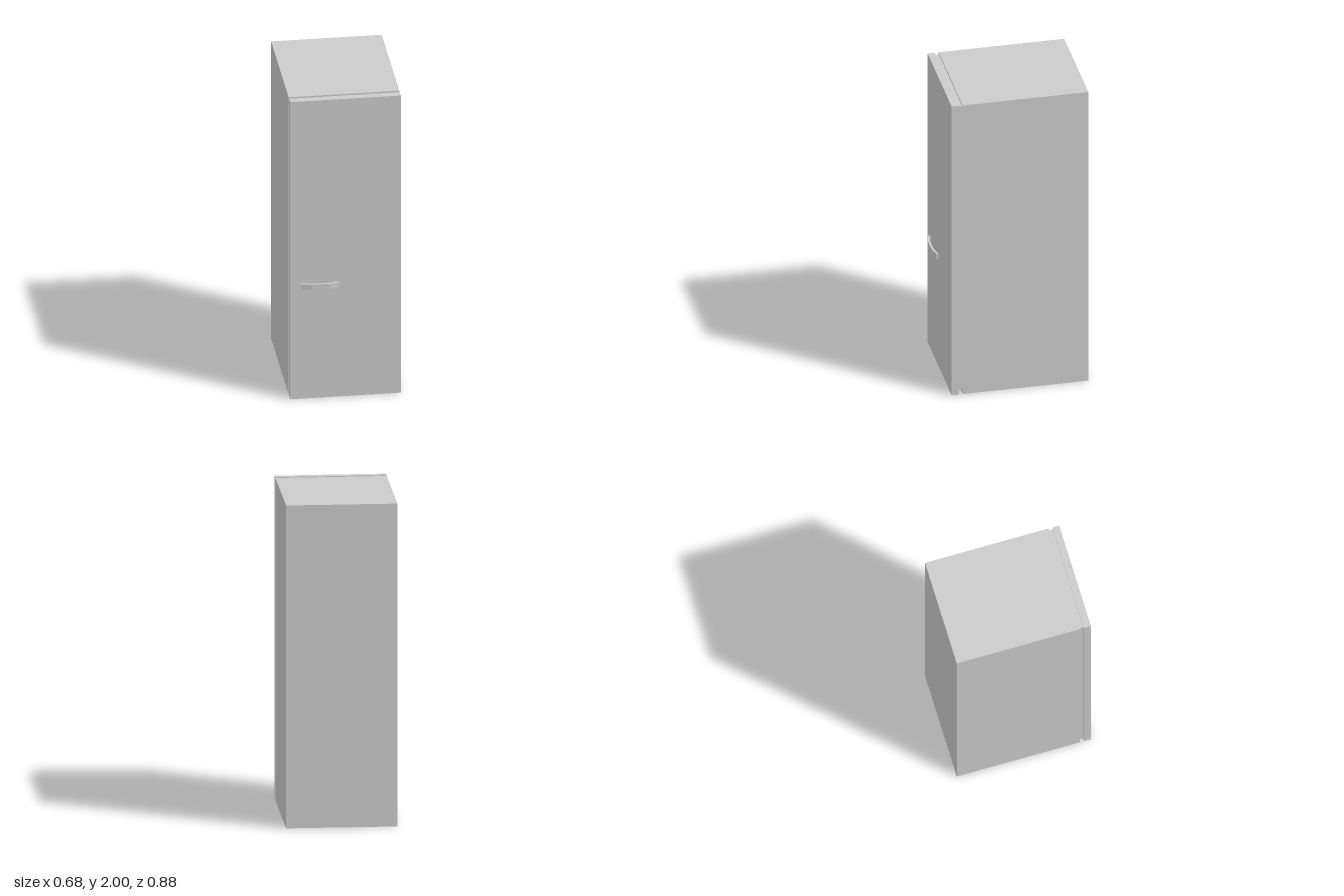
import * as THREE from 'three';

export function createModel() {
  const group = new THREE.Group();
  const material = new THREE.MeshStandardMaterial({ color: 0xcccccc, flatShading: true });

  const add = (name, geometry) => {
    const mesh = new THREE.Mesh(geometry, material);
    mesh.name = name;
    group.add(mesh);
    return mesh;
  };

  // Box centred on x, given by its width and its y and z ranges
  const addBox = (name, width, y0, y1, z0, z1) => {
    const mesh = add(name, new THREE.BoxGeometry(width, y1 - y0, z1 - z0));
    mesh.position.set(0, (y0 + y1) / 2, (z0 + z1) / 2);
  };

  addBox('cabinet', 0.676, 0, 2, -0.438, 0.341);
  addBox('doorSeal', 0.658, 0.03, 1.99, 0.341, 0.365);
  addBox('door', 0.676, 0, 2, 0.365, 0.409);

  // Bowed handle: plan outline in x and z, extruded along the height
  const outline = [
    [-0.273, 0.409], [-0.262, 0.409], [-0.208, 0.423], [-0.101, 0.423], [-0.048, 0.409],
    [-0.037, 0.409], [-0.037, 0.419], [-0.101, 0.437], [-0.208, 0.437], [-0.273, 0.419],
  ].map(([x, z]) => new THREE.Vector2(x, z));
  const handle = new THREE.ExtrudeGeometry(new THREE.Shape(outline), { depth: 0.035, bevelEnabled: false });
  handle.rotateX(Math.PI / 2);
  add('handle', handle).position.y = 0.775;

  return group;
}
